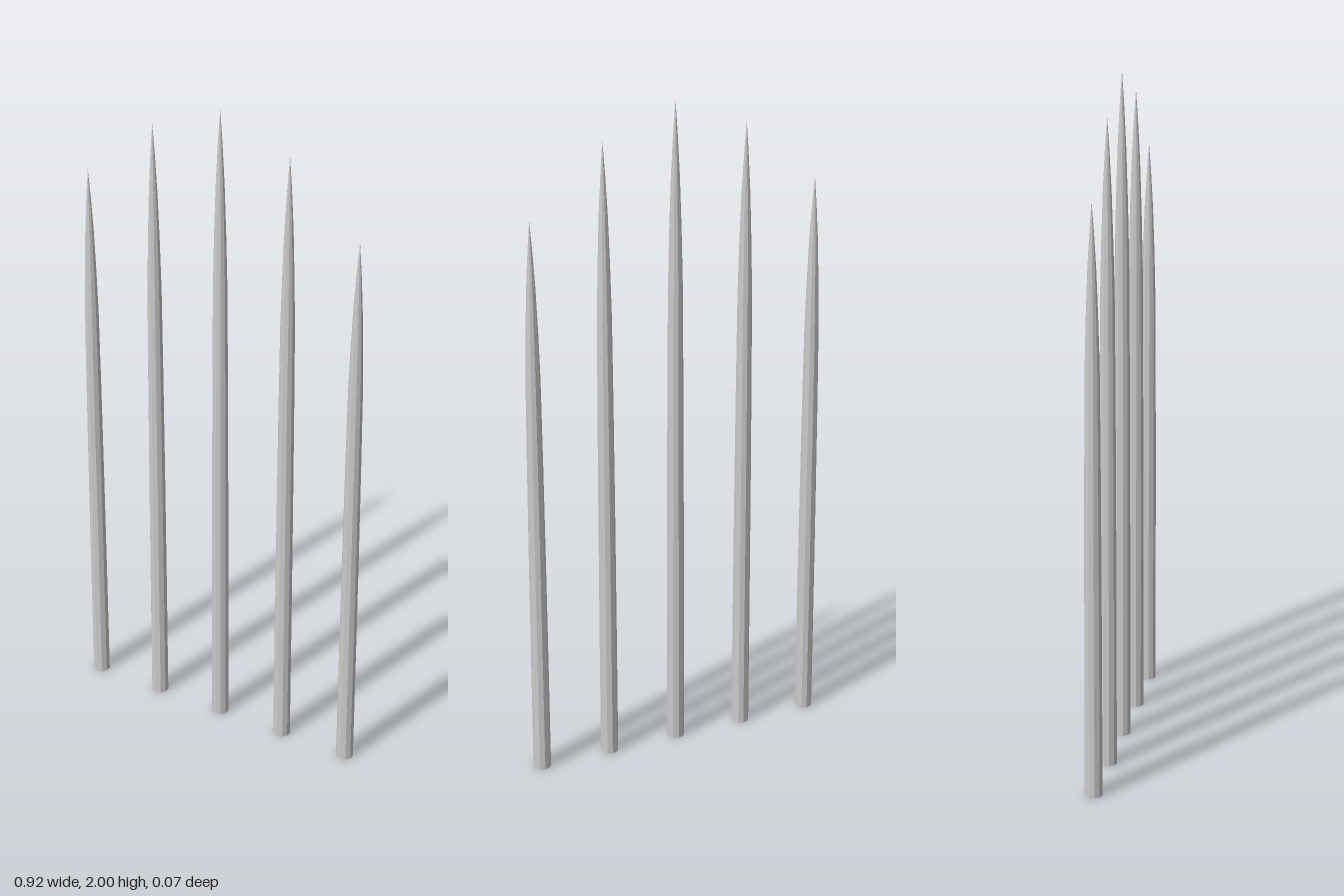
import * as THREE from 'three';

const material = new THREE.MeshStandardMaterial({ color: 0xcccccc, flatShading: true });

// [radius, fraction of height]: gently tapering shaft, then a long curved point
const PROFILE = [
  [0, 0], [0.026, 0], [0.0255, 0.2], [0.0245, 0.4], [0.023, 0.58],
  [0.021, 0.73], [0.0175, 0.81], [0.0125, 0.89], [0.0065, 0.95], [0, 1],
];

function makeSpike(height) {
  const points = PROFILE.map(([r, t]) => new THREE.Vector2(r, t * height));
  return new THREE.Mesh(new THREE.LatheGeometry(points, 10), material);
}

export function createModel() {
  const group = new THREE.Group();
  group.name = 'spikeRow';

  // Five spikes, tallest in the middle, on a slightly skewed line
  const heights = [1.72, 1.91, 2, 1.91, 1.71];
  heights.forEach((height, i) => {
    const spike = makeSpike(height);
    spike.name = `spike${i + 1}`;
    spike.position.set((i - 2) * 0.2185, 0, (2 - i) * 0.0056);
    group.add(spike);
  });
  return group;
}
